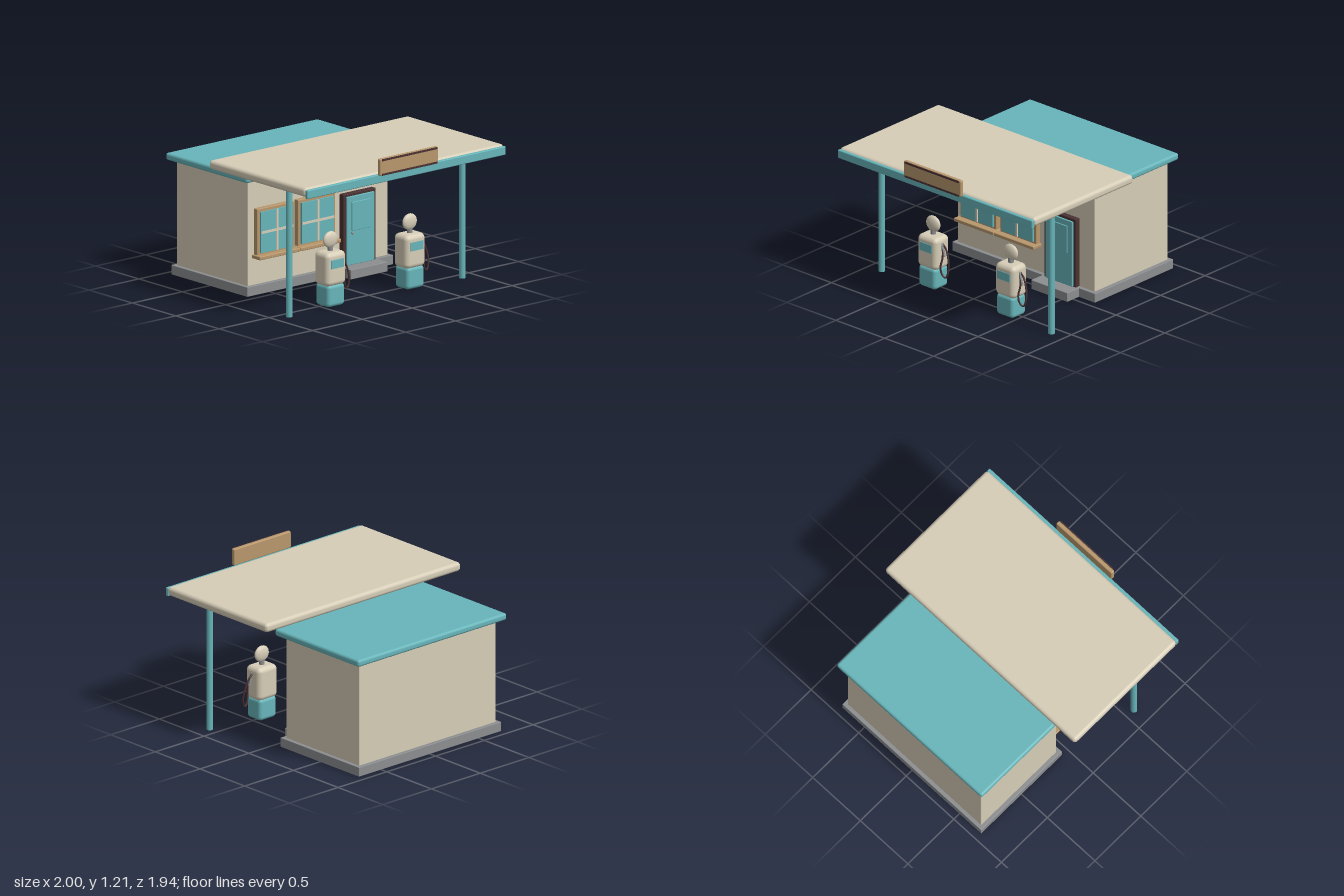
import * as THREE from 'three';
import { RoundedBoxGeometry } from 'three/addons/geometries/RoundedBoxGeometry.js';

const paint = (name, color) => {
  const m = new THREE.MeshStandardMaterial({ color });
  m.name = name;
  return m;
};

export function createModel() {
  const cream = paint('cream', 0xd6cdb7);
  const teal = paint('teal', 0x67b5ba);
  const tan = paint('tan wood', 0xb8976c);
  const dark = paint('dark brown', 0x4a3132);
  const grey = paint('concrete grey', 0x8c8e90);

  const model = new THREE.Group();
  model.name = 'fillingStation';

  const add = (parent, name, geometry, material, x = 0, y = 0, z = 0) => {
    const mesh = new THREE.Mesh(geometry, material);
    mesh.name = name;
    mesh.position.set(x, y, z);
    parent.add(mesh);
    return mesh;
  };
  // Box given by its min and max corners; radius > 0 rounds the edges
  const box = (parent, name, material, [x0, y0, z0], [x1, y1, z1], radius = 0) => {
    const size = [x1 - x0, y1 - y0, z1 - z0];
    const geometry = radius
      ? new RoundedBoxGeometry(...size, 4, radius)
      : new THREE.BoxGeometry(...size);
    return add(parent, name, geometry, material, (x0 + x1) / 2, (y0 + y1) / 2, (z0 + z1) / 2);
  };
  const group = (name, x = 0, y = 0, z = 0) => {
    const g = new THREE.Group();
    g.name = name;
    g.position.set(x, y, z);
    model.add(g);
    return g;
  };

  // Shop building
  const shop = group('shop');
  box(shop, 'foundation', grey, [-0.73, 0, -0.94], [0.73, 0.075, -0.06], 0.004);
  box(shop, 'doorStep', grey, [0.195, 0, -0.07], [0.565, 0.075, 0.07], 0.004);
  box(shop, 'walls', cream, [-0.7, 0.07, -0.91], [0.7, 0.91, -0.09], 0.005);
  box(shop, 'roof', teal, [-0.763, 0.897, -0.97], [0.763, 0.953, -0.03], 0.02);

  // Windows: frame, pane, glazing bars and sill
  for (const x of [-0.455, -0.045]) {
    const win = group('window', x, 0.488, 0);
    box(win, 'windowFrame', tan, [-0.185, -0.185, -0.095], [0.185, 0.185, -0.05], 0.006);
    box(win, 'windowPane', teal, [-0.16, -0.16, -0.055], [0.16, 0.16, -0.035]);
    box(win, 'uprightBar', cream, [-0.009, -0.16, -0.04], [0.009, 0.16, -0.028]);
    box(win, 'crossBar', cream, [-0.16, -0.009, -0.04], [0.16, 0.009, -0.028]);
    box(win, 'windowSill', tan, [-0.203, -0.203, -0.095], [0.203, -0.175, 0.003], 0.006);
  }

  // Door
  const door = group('door', 0.383, 0, 0);
  box(door, 'doorFrame', dark, [-0.162, 0.075, -0.095], [0.162, 0.635, -0.047], 0.004);
  box(door, 'doorLeaf', teal, [-0.137, 0.078, -0.055], [0.137, 0.614, -0.033], 0.004);
  box(door, 'doorPanel', teal, [-0.093, 0.345, -0.035], [0.093, 0.57, -0.024], 0.004);
  add(door, 'doorKnob', new THREE.SphereGeometry(0.011, 12, 8), grey, -0.092, 0.33, -0.023);

  // Canopy with front fascia, sign and posts
  const canopy = group('canopy');
  box(canopy, 'canopyRoof', cream, [-1, 1.02, -0.2], [1, 1.092, 0.915], 0.028);
  box(canopy, 'fascia', teal, [-0.995, 1.012, 0.908], [0.995, 1.08, 0.938], 0.008);
  box(canopy, 'signBoard', tan, [-0.292, 1.075, 0.933], [0.292, 1.208, 0.967], 0.01);
  for (const y of [1.085, 1.198])
    box(canopy, 'signTrim', dark, [-0.275, y - 0.007, 0.96], [0.275, y + 0.007, 0.974]);
  for (const side of [-1, 1])
    add(canopy, 'post', new THREE.CylinderGeometry(0.025, 0.025, 1.03, 20), teal, side * 0.868, 0.515, 0.58);

  // Fuel pumps
  const hosePath = new THREE.CatmullRomCurve3([
    [0.095, 0.37, 0], [0.13, 0.335, 0], [0.165, 0.25, 0.01], [0.172, 0.17, 0.02],
    [0.15, 0.112, 0.025], [0.122, 0.13, 0.033], [0.11, 0.19, 0.04], [0.118, 0.27, 0.025], [0.1, 0.36, 0.005],
  ].map((p) => new THREE.Vector3(...p)));
  for (const x of [-0.4, 0.395]) {
    const pump = group('fuelPump', x, 0, 0.515);
    box(pump, 'pumpBase', teal, [-0.087, 0, -0.078], [0.087, 0.175, 0.078], 0.03);
    box(pump, 'pumpBody', cream, [-0.099, 0.16, -0.082], [0.099, 0.425, 0.082], 0.04);
    box(pump, 'pumpDisplay', teal, [-0.063, 0.303, 0.079], [0.063, 0.37, 0.087]);
    add(pump, 'pumpNeck', new THREE.CylinderGeometry(0.021, 0.021, 0.07, 16), grey, 0, 0.44, 0);
    add(pump, 'pumpGlobe', new THREE.SphereGeometry(1, 28, 18), cream, 0, 0.51, 0).scale.set(0.069, 0.064, 0.028);
    add(pump, 'hose', new THREE.TubeGeometry(hosePath, 48, 0.0075, 8), dark);
    const nozzle = add(pump, 'nozzle', new RoundedBoxGeometry(0.018, 0.11, 0.022, 2, 0.006), grey, 0.108, 0.325, 0.008);
    nozzle.rotation.z = 0.25;
  }

  return model;
}
